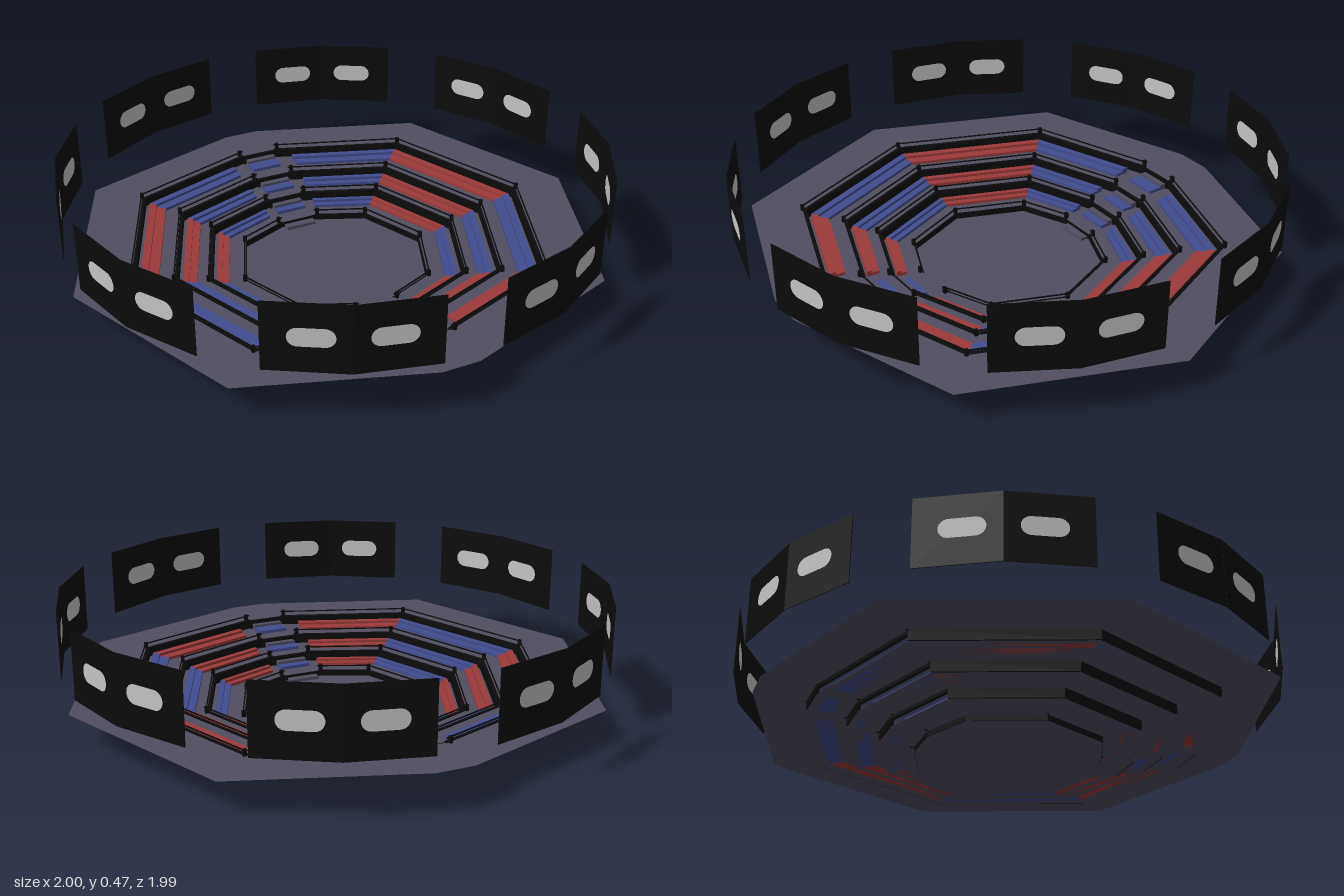
import * as THREE from 'three';

export function createModel() {
  const model = new THREE.Group();
  model.name = 'arena';

  const mat = (name, color, side = THREE.FrontSide) => {
    const m = new THREE.MeshStandardMaterial({ color, side });
    m.name = name;
    return m;
  };
  const floorMat = mat('slate floor', 0x504e60, THREE.DoubleSide);
  const black = mat('black trim', 0x0b0b0b);
  const red = mat('red seats', 0x9c3a3a);
  const blue = mat('blue seats', 0x424c8e);
  const light = mat('pale screen light', 0xc4c4c4, THREE.DoubleSide);

  const add = (name, geometry, material, parent = model) => {
    const mesh = new THREE.Mesh(geometry, material);
    mesh.name = name;
    parent.add(mesh);
    return mesh;
  };
  const group = (name) => {
    const g = new THREE.Group();
    g.name = name;
    model.add(g);
    return g;
  };

  // Ten-sided plan: an octagon split by a narrow aisle at front and back
  const ring = (r) => {
    const q = [[r, 0], [0.71 * r, 0.71 * r], [0.07, 0.927 * r]];
    const half = [...q, [-q[2][0], q[2][1]], [-q[1][0], q[1][1]]];
    return [...half, ...half.map(([x, z]) => [-x, -z])].map(([x, z]) => new THREE.Vector2(x, z));
  };
  const side = (r, i, t) => {
    const p = ring(r);
    return p[i].clone().lerp(p[(i + 1) % 10], t);
  };
  const isAisle = (i) => i === 2 || i === 7;

  // Plan shapes are drawn in (x, -z), then laid flat
  const flip = (points) => points.map((p) => new THREE.Vector2(p.x, -p.y));
  const lay = (geometry, y) => geometry.rotateX(-Math.PI / 2).translate(0, y, 0);

  // Prism along one side of the plan, between two radii and two heights
  const band = (i, r0, r1, y0, y1, t0 = 0, t1 = 1) => {
    const corners = [side(r0, i, t0), side(r1, i, t0), side(r1, i, t1), side(r0, i, t1)];
    const shape = new THREE.Shape(flip(corners));
    return lay(new THREE.ExtrudeGeometry(shape, { depth: y1 - y0, bevelEnabled: false }), y0);
  };

  const radii = [0.36, 0.5, 0.63, 0.79, 1];
  const heights = [0, 0.022, 0.06, 0.097, 0.133];

  // Stepped floors
  heights.forEach((y, k) => {
    const shape = new THREE.Shape(flip(ring(radii[k])));
    if (k > 0) shape.holes.push(new THREE.Path(flip(ring(radii[k - 1]))));
    add(k === 0 ? 'arenaFloor' : 'tierFloor', lay(new THREE.ShapeGeometry(shape), y), floorMat);
  });

  // Risers, edge trim and handrails
  for (let k = 0; k < 4; k++) {
    const g = group('tierEdge');
    const r = radii[k], y0 = heights[k], y1 = heights[k + 1];
    const thin = k === 0;
    for (let i = 0; i < 10; i++) {
      const a = side(r, i, 0), b = side(r, i, 1);
      const riser = new THREE.BufferGeometry();
      riser.setAttribute('position', new THREE.Float32BufferAttribute(
        [a.x, y0, a.y, b.x, y0, b.y, b.x, y1, b.y, a.x, y1, a.y], 3));
      riser.setIndex([0, 1, 2, 0, 2, 3]);
      riser.computeVertexNormals();
      add('riser', riser, black, g);

      // Some trims reach the lower floor, the others leave the seat backs open
      const closed = thin || isAisle(i) || i === 4 || i === 5 || (k === 3 && (i === 0 || i === 9));
      const bottom = closed ? y0 + 0.001 : y1 - 0.013;
      const top = isAisle(i) ? y1 - 0.002 : y1 + 0.003;
      add('edgeTrim', band(i, r - (thin ? 0.002 : 0.01), r + (thin ? 0.002 : 0.005), bottom, top), black, g);
      if (!isAisle(i)) {
        add('handrail', band(i, r + 0.004, r + 0.009, y1 + 0.017, y1 + 0.021), black, g);
      }
      const post = ring(r + 0.006)[i];
      add('railPost', new THREE.BoxGeometry(0.012, 0.024, 0.012), black, g)
        .position.set(post.x + (Math.abs(post.x) < 0.08 ? Math.sign(post.x) * 0.014 : 0), y1 + 0.012, post.y);
    }
  }

  // Benches: low seat in front of a higher back, alternating colours
  const sideColours = [blue, red, blue, red, blue, red, blue, blue, blue, red];
  const benches = [[0.43, 0.455, 0.475], [0.55, 0.58, 0.605], [0.695, 0.735, 0.765]];
  benches.forEach(([rIn, rMid, rOut], k) => {
    const g = group('benchRow');
    const y = heights[k + 1], outer = radii[k + 1], rise = heights[k + 2] - y;
    for (let i = 0; i < 10; i++) {
      if (isAisle(i)) {
        add('aisleSeat', band(i, rIn, rOut - 0.01, y, y + 0.012, 0.07, 0.93), blue, g);
        add('aisleStep', band(i, rOut - 0.01, outer - 0.002, y, y + rise * 0.6, 0.07, 0.93), floorMat, g);
        continue;
      }
      const t0 = i === 3 || i === 8 ? 0.13 : 0;
      const t1 = i === 1 || i === 6 ? 0.87 : 1;
      add('benchSeat', band(i, rIn, rMid, y, y + 0.011, t0, t1), sideColours[i], g);
      add('benchBack', band(i, rMid, rOut, y, y + 0.021, t0, t1), sideColours[i], g);
    }
  });

  // Steps down to the arena floor at both aisles
  for (const i of [2, 7]) {
    add('innerStep', band(i, 0.325, 0.357, 0, 0.012, 0.07, 0.93), floorMat);
  }

  // Rounded light plate for the screens
  const w = 0.042, h = 0.034;
  const lens = new THREE.Shape();
  lens.moveTo(-w, -h);
  lens.lineTo(w, -h);
  lens.absarc(w, 0, h, -Math.PI / 2, Math.PI / 2, false);
  lens.lineTo(-w, h);
  lens.absarc(-w, 0, h, Math.PI / 2, Math.PI * 1.5, false);
  const lensGeometry = new THREE.ShapeGeometry(lens, 8);

  // Eight hanging screens, each two flat panels meeting at a shallow angle
  const step = THREE.MathUtils.degToRad(16.45);
  const panelGeometry = new THREE.BoxGeometry(2 * Math.sin(step / 2), 0.25, 0.003);
  for (let n = 0; n < 8; n++) {
    const g = group('hangingScreen');
    g.rotation.y = Math.PI / 8 + n * Math.PI / 4;
    for (const s of [-1, 1]) {
      const panel = new THREE.Group();
      panel.name = 'screenHalf';
      const a = s * step / 2, d = Math.cos(step / 2);
      panel.position.set(Math.sin(a) * d, 0.35, Math.cos(a) * d);
      panel.rotation.y = a;
      g.add(panel);
      add('screenPanel', panelGeometry, black, panel);
      for (const z of [-0.004, 0.004]) {
        add('screenLight', lensGeometry, light, panel).position.set(-s * 0.015, 0.004, z);
      }
    }
  }

  return model;
}
